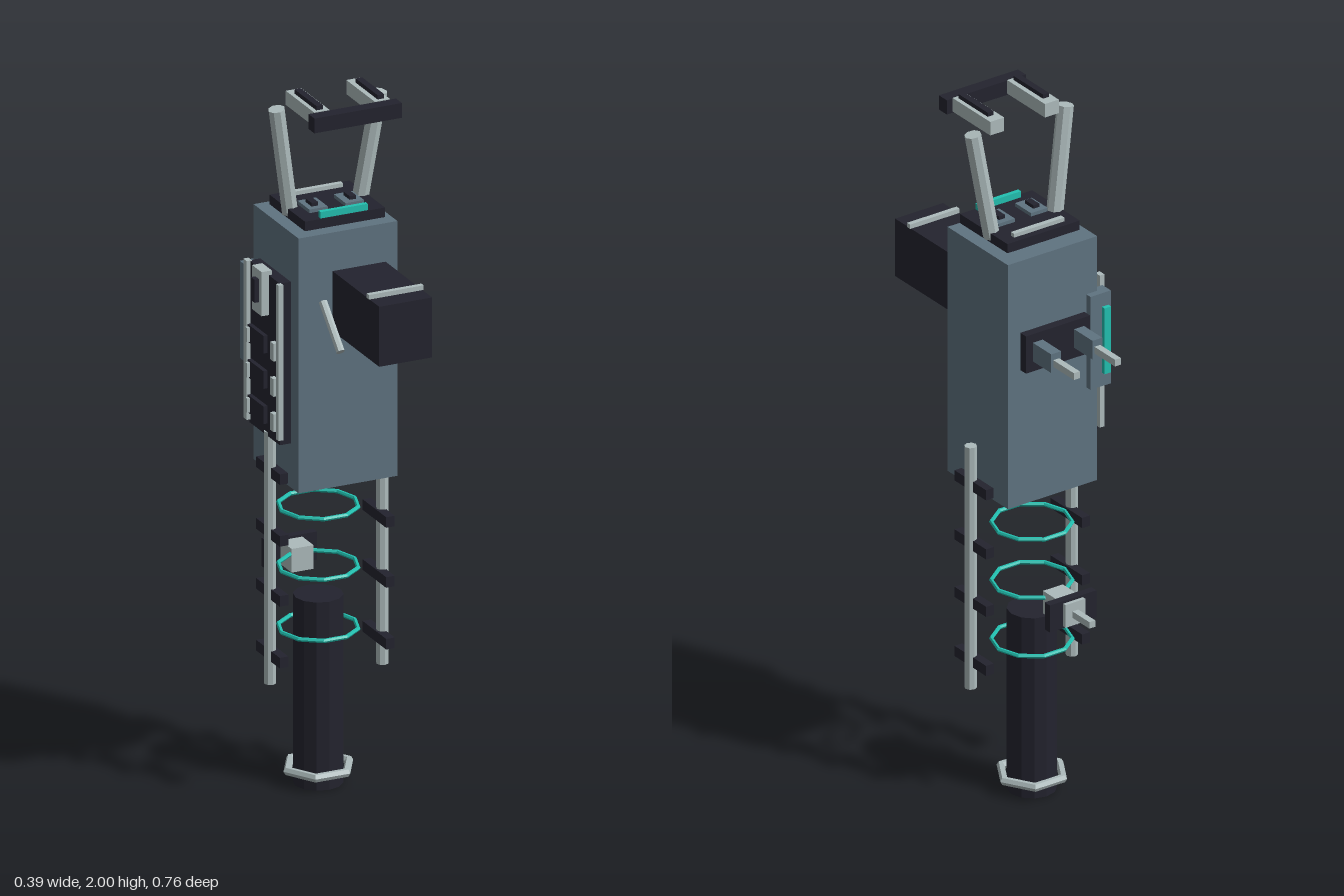
import * as THREE from 'three';

const mat = (name, color) => {
  const m = new THREE.MeshStandardMaterial({ color, flatShading: true });
  m.name = name;
  return m;
};

export function createModel() {
  const dark = mat('charcoal', 0x23232e);
  const slate = mat('slate', 0x5f7380);
  const light = mat('paleMetal', 0xadbbbc);
  const teal = mat('teal', 0x22c0b0);

  const CX = 0.012; // mirror plane of the device
  const model = new THREE.Group();
  model.name = 'device';

  const add = (name, geo, material) => {
    const mesh = new THREE.Mesh(geo, material);
    mesh.name = name;
    model.add(mesh);
    return mesh;
  };
  // Box from its limits on each axis
  const box = (name, m, x0, x1, y0, y1, z0, z1) =>
    add(name, new THREE.BoxGeometry(x1 - x0, y1 - y0, z1 - z0), m)
      .position.set((x0 + x1) / 2, (y0 + y1) / 2, (z0 + z1) / 2);
  // Box and its mirror image, limits measured from the mirror plane
  const pair = (name, m, a, b, ...rest) => {
    box(name + 'Left', m, CX + a, CX + b, ...rest);
    box(name + 'Right', m, CX - b, CX - a, ...rest);
  };
  // Straight rod between two points
  const rod = (name, m, a, b, r, sides = 8) => {
    const p = new THREE.Vector3(...a), q = new THREE.Vector3(...b);
    const mesh = add(name, new THREE.CylinderGeometry(r, r, p.distanceTo(q), sides), m);
    mesh.position.copy(p).add(q).multiplyScalar(0.5);
    mesh.quaternion.setFromUnitVectors(new THREE.Vector3(0, 1, 0), q.sub(p).normalize());
  };
  const ring = (name, m, y, R, tube, segments) => {
    const mesh = add(name, new THREE.TorusGeometry(R, tube, 6, segments), m);
    mesh.rotation.x = Math.PI / 2;
    mesh.position.set(CX, y, -0.087);
  };

  // Main housing
  box('housing', slate, -0.132, 0.157, 0.905, 1.627, -0.181, 0.092);

  // Front block with its trim and brace
  box('frontBlock', dark, -0.035, 0.12, 1.35, 1.52, 0.097, 0.38);
  box('frontTrim', light, -0.037, 0.123, 1.52, 1.533, 0.308, 0.322);
  rod('frontBrace', light, [-0.062, 1.437, 0.095], [-0.062, 1.333, 0.202], 0.012);

  // Control deck on top
  box('deck', dark, -0.105, 0.129, 1.637, 1.664, -0.14, 0.075);
  box('deckRearBar', light, -0.07, 0.093, 1.662, 1.675, -0.12, -0.105);
  box('deckLightBar', teal, -0.058, 0.08, 1.662, 1.682, 0.059, 0.072);
  pair('deckPad', slate, 0.026, 0.08, 1.662, 1.674, -0.047, 0.025);
  pair('deckKey', dark, 0.046, 0.065, 1.672, 1.684, -0.03, 0.008);

  // Carrying handle: uprights, arms and crossbar
  for (const s of [-1, 1]) {
    rod('handleUpright', light, [CX + s * 0.102, 1.645, -0.047], [CX + s * 0.15, 1.952, -0.029], 0.023);
  }
  pair('handleArm', light, 0.066, 0.111, 1.948, 1.988, -0.054, 0.117);
  pair('handleGrip', dark, 0.08, 0.099, 1.984, 2.0, -0.026, 0.107);
  box('handleCrossbar', dark, -0.115, 0.141, 1.944, 1.986, 0.117, 0.153);

  // Rear plug plate with two prongs
  box('plugPlate', dark, -0.091, 0.117, 1.305, 1.415, -0.207, -0.178);
  pair('plugSocket', slate, 0.051, 0.083, 1.335, 1.39, -0.29, -0.205);
  pair('plugProng', light, 0.057, 0.076, 1.351, 1.371, -0.383, -0.288);

  // Rear indicator on the right corner
  box('indicatorCase', slate, -0.163, -0.097, 1.19, 1.465, -0.2, -0.162);
  box('indicatorLamp', teal, -0.155, -0.134, 1.23, 1.425, -0.212, -0.199);

  // Side panel with rails, latch and keys
  box('sidePanel', dark, -0.164, -0.13, 1.03, 1.488, -0.14, 0.045);
  box('sideRailRear', light, -0.175, -0.16, 1.04, 1.49, -0.154, -0.133);
  box('sideRailFront', light, -0.176, -0.162, 1.05, 1.49, 0.047, 0.062);
  box('latch', light, -0.185, -0.155, 1.375, 1.5, -0.08, -0.022);
  box('latchKnob', dark, -0.198, -0.184, 1.41, 1.475, -0.06, -0.037);
  for (const y of [1.09, 1.19, 1.29]) {
    box('sideKey', dark, -0.176, -0.162, y - 0.025, y + 0.025, -0.125, -0.03);
    box('sideKeyTab', light, -0.185, -0.174, y - 0.02, y + 0.02, -0.121, -0.11);
    box('sideMarker', light, -0.177, -0.163, y - 0.025, y + 0.025, 0.013, 0.033);
  }

  // Lower rails with clamps
  for (const s of [-1, 1]) {
    rod('lowerRail', light, [CX + s * 0.164, 0.325, -0.039], [CX + s * 0.164, 1.04, -0.039], 0.017);
  }
  for (const y of [0.405, 0.58, 0.75, 0.925]) {
    pair('railClamp', dark, 0.143, 0.168, y - 0.015, y + 0.015, -0.115, 0.028);
  }

  // Floating coil rings
  for (const y of [0.44, 0.613, 0.785]) ring('coilRing', teal, y, 0.107, 0.006, 10);

  // Lower connector
  box('connectorCore', light, -0.02, 0.044, 0.563, 0.63, -0.284, -0.182);
  box('connectorPlate', dark, -0.064, 0.087, 0.557, 0.637, -0.273, -0.25);
  box('connectorProng', light, 0.003, 0.022, 0.586, 0.605, -0.361, -0.282);

  // Bottom grip with its collar
  add('grip', new THREE.CylinderGeometry(0.067, 0.067, 0.533, 12), dark).position.set(CX, 0.2665, -0.087);
  ring('gripCollar', light, 0.045, 0.09, 0.012, 6);

  return model;
}
